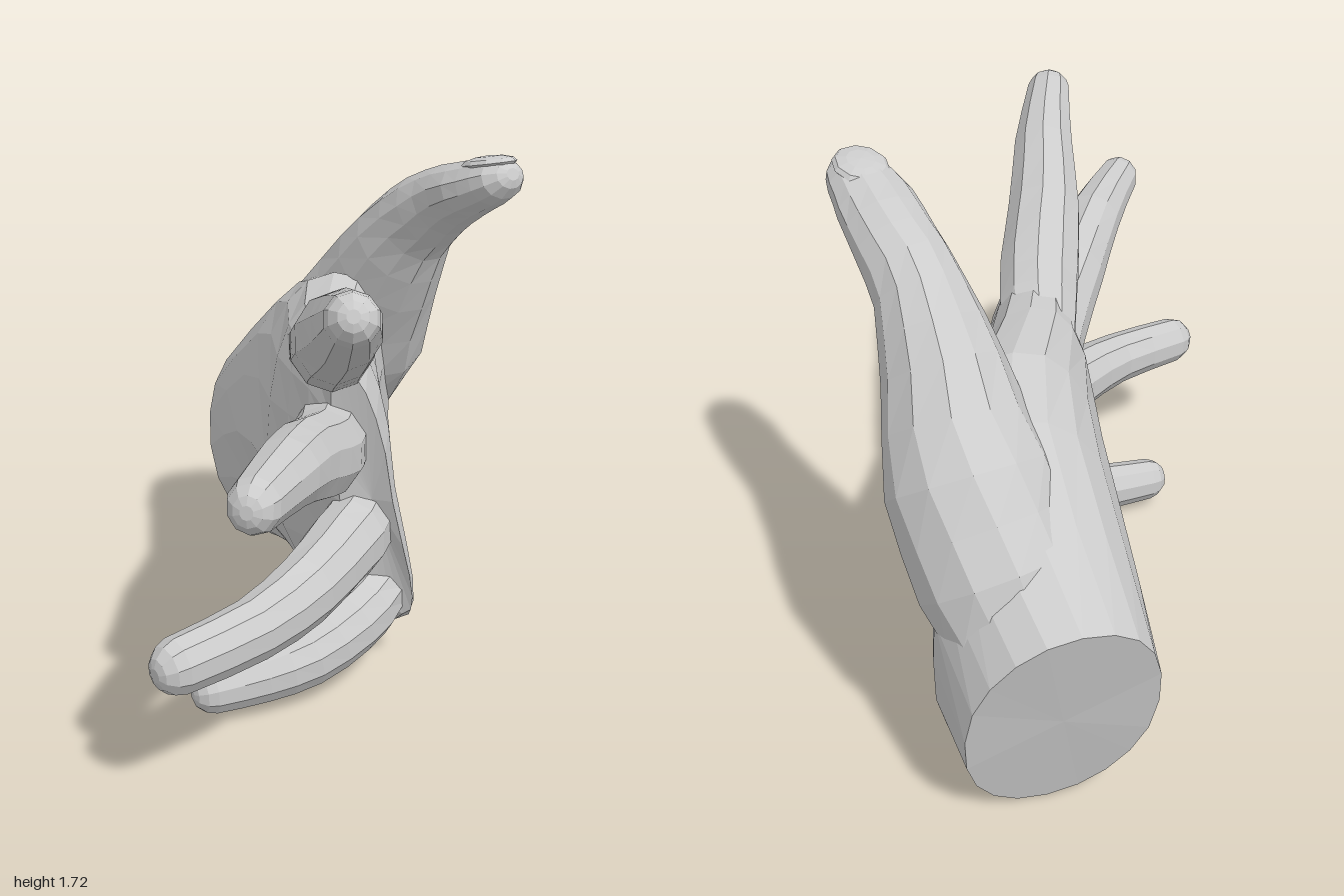
import * as THREE from 'three';

const V3 = (x, y, z) => new THREE.Vector3(x, y, z);
const material = new THREE.MeshStandardMaterial({ color: 0xcccccc, flatShading: true });

// Skin a list of equal-sized rings and close both ends.
function loft(name, rings) {
  const n = rings[0].length, pos = [], idx = [];
  rings.forEach(r => r.forEach(p => pos.push(p.x, p.y, p.z)));
  for (let i = 0; i < rings.length - 1; i++)
    for (let j = 0; j < n; j++) {
      const a = i * n + j, b = i * n + (j + 1) % n;
      idx.push(a, b, b + n, a, b + n, a + n);
    }
  const last = (rings.length - 1) * n;
  for (const k of [0, last]) {
    const c = V3(0, 0, 0);
    for (let j = 0; j < n; j++) c.add(rings[k / n][j]);
    c.divideScalar(n);
    const ci = pos.length / 3;
    pos.push(c.x, c.y, c.z);
    for (let j = 0; j < n; j++) {
      const a = k + j, b = k + (j + 1) % n;
      if (k === 0) idx.push(ci, b, a); else idx.push(ci, a, b);
    }
  }
  const g = new THREE.BufferGeometry();
  g.setAttribute('position', new THREE.Float32BufferAttribute(pos, 3));
  g.setIndex(idx);
  g.computeVertexNormals();
  const mesh = new THREE.Mesh(g, material);
  mesh.name = name;
  return mesh;
}

// Digit along a curve; points are [x, y, z, half width, half height].
function digit(name, pts, sides = 10) {
  const curve = new THREE.CatmullRomCurve3(pts.map(p => V3(p[0], p[1], p[2])));
  const rings = [], steps = (pts.length - 1) * 2;
  const ring = (c, t, w, h) => {
    const up = V3(0, 1, 0).addScaledVector(t, -t.y).normalize();
    const side = up.clone().cross(t);
    return Array.from({ length: sides }, (_, j) => {
      const a = (j + 0.5) / sides * Math.PI * 2;
      return c.clone().addScaledVector(side, Math.cos(a) * w).addScaledVector(up, Math.sin(a) * h);
    });
  };
  const lerp = (k, f) => {
    const i = Math.min(Math.floor(f), pts.length - 2);
    return THREE.MathUtils.lerp(pts[i][k], pts[i + 1][k], f - i);
  };
  for (let s = 0; s <= steps; s++) {
    const f = s / 2, u = s / steps;
    rings.push(ring(curve.getPoint(u), curve.getTangent(u), lerp(3, f), lerp(4, f)));
  }
  // rounded fingertip
  const end = curve.getPoint(1), t = curve.getTangent(1);
  const [, , , w, h] = pts[pts.length - 1];
  for (const [d, k] of [[0.45, 0.86], [0.8, 0.55], [0.92, 0.25]])
    rings.push(ring(end.clone().addScaledVector(t, d * w), t, w * k, h * k));
  return loft(name, rings);
}

// Palm section: back point, palm point (x, z), bottom and top,
// shift of the top edge, shift of the bottom edge (x, z), squareness.
function palmRing([dx, dz, px, pz, y0, y1, tx, tz, bx, bz, e], n = 20) {
  const cx = (dx + px) / 2, cz = (dz + pz) / 2;
  const ux = (px - dx) / 2, uz = (pz - dz) / 2;
  const sp = v => Math.sign(v) * Math.abs(v) ** (2 / e);
  return Array.from({ length: n }, (_, j) => {
    const a = j / n * Math.PI * 2, u = sp(Math.cos(a)), v = sp(Math.sin(a));
    const k = Math.abs(v) ** 1.2, [sx, sz] = v > 0 ? [tx, tz] : [bx, bz];
    return V3(cx + ux * u + sx * k, (y0 + y1) / 2 + v * (y1 - y0) / 2, cz + uz * u + sz * k);
  });
}

export function createModel() {
  const hand = new THREE.Group();
  hand.name = 'hand';

  // palm from the cut wrist to the knuckles
  hand.add(loft('palm', [
    [0.33, -0.95, 0.90, -0.79, 0.00, 0.80, 0.00, -0.10, 0.00, 0.10, 2.1],
    [0.25, -0.74, 0.87, -0.56, 0.05, 1.00, 0.04, -0.06, 0.02, 0.06, 2.3],
    [0.16, -0.52, 0.71, -0.31, 0.07, 1.18, 0.09, -0.03, 0.10, 0.05, 2.4],
    [0.08, -0.32, 0.52, -0.14, 0.07, 1.25, 0.08, 0.00, 0.14, 0.05, 2.5],
    [-0.01, -0.10, 0.35, 0.06, 0.08, 1.24, 0.02, 0.00, 0.16, 0.05, 2.6],
    [-0.03, 0.06, 0.26, 0.22, 0.11, 1.23, -0.04, 0.00, 0.17, 0.03, 2.6],
    [-0.02, 0.18, 0.20, 0.33, 0.14, 1.20, -0.08, 0.00, 0.18, 0.01, 2.6],
    [0.01, 0.28, 0.14, 0.39, 0.19, 1.11, -0.10, 0.00, 0.18, -0.01, 2.4],
  ].map(s => palmRing(s))));

  // four fingers
  hand.add(digit('indexFinger', [
    [0.17, 1.08, -0.05, 0.11, 0.10], [0.07, 1.125, 0.13, 0.13, 0.135],
    [-0.03, 1.18, 0.28, 0.135, 0.145], [-0.16, 1.27, 0.46, 0.125, 0.14],
    [-0.31, 1.38, 0.70, 0.105, 0.115], [-0.47, 1.485, 0.92, 0.077, 0.077]]));
  hand.add(digit('middleFinger', [
    [0.12, 0.83, 0.08, 0.11, 0.13], [-0.01, 0.84, 0.24, 0.13, 0.15],
    [-0.13, 0.87, 0.37, 0.125, 0.14], [-0.34, 0.95, 0.55, 0.11, 0.13],
    [-0.55, 1.02, 0.74, 0.10, 0.105], [-0.79, 1.05, 0.93, 0.075, 0.08]]));
  hand.add(digit('ringFinger', [
    [0.18, 0.53, 0.10, 0.10, 0.12], [0.09, 0.53, 0.27, 0.12, 0.14],
    [-0.06, 0.53, 0.37, 0.12, 0.125], [-0.30, 0.505, 0.50, 0.105, 0.115],
    [-0.55, 0.48, 0.58, 0.09, 0.098], [-0.83, 0.46, 0.60, 0.08, 0.088]]));
  hand.add(digit('littleFinger', [
    [0.30, 0.31, 0.10, 0.08, 0.10], [0.20, 0.26, 0.25, 0.10, 0.115],
    [0.04, 0.21, 0.31, 0.10, 0.11], [-0.15, 0.155, 0.325, 0.09, 0.1],
    [-0.32, 0.13, 0.30, 0.08, 0.09], [-0.49, 0.12, 0.265, 0.07, 0.08]]));

  // thumb with the fleshy base that bulges out of the palm
  hand.add(digit('thumb', [
    [0.63, 0.56, -0.74, 0.21, 0.16], [0.645, 0.77, -0.58, 0.25, 0.27],
    [0.64, 1.00, -0.40, 0.25, 0.27], [0.60, 1.25, -0.20, 0.185, 0.21],
    [0.58, 1.43, -0.04, 0.14, 0.15], [0.58, 1.53, 0.10, 0.13, 0.12],
    [0.57, 1.595, 0.24, 0.125, 0.095], [0.57, 1.635, 0.34, 0.105, 0.08]], 12));

  // thumb nail
  const nail = new THREE.Mesh(new THREE.SphereGeometry(1, 10, 6), material);
  nail.name = 'thumbNail';
  nail.scale.set(0.085, 0.025, 0.10);
  nail.position.set(0.57, 1.69, 0.32);
  nail.rotation.x = -0.2;
  hand.add(nail);

  return hand;
}
